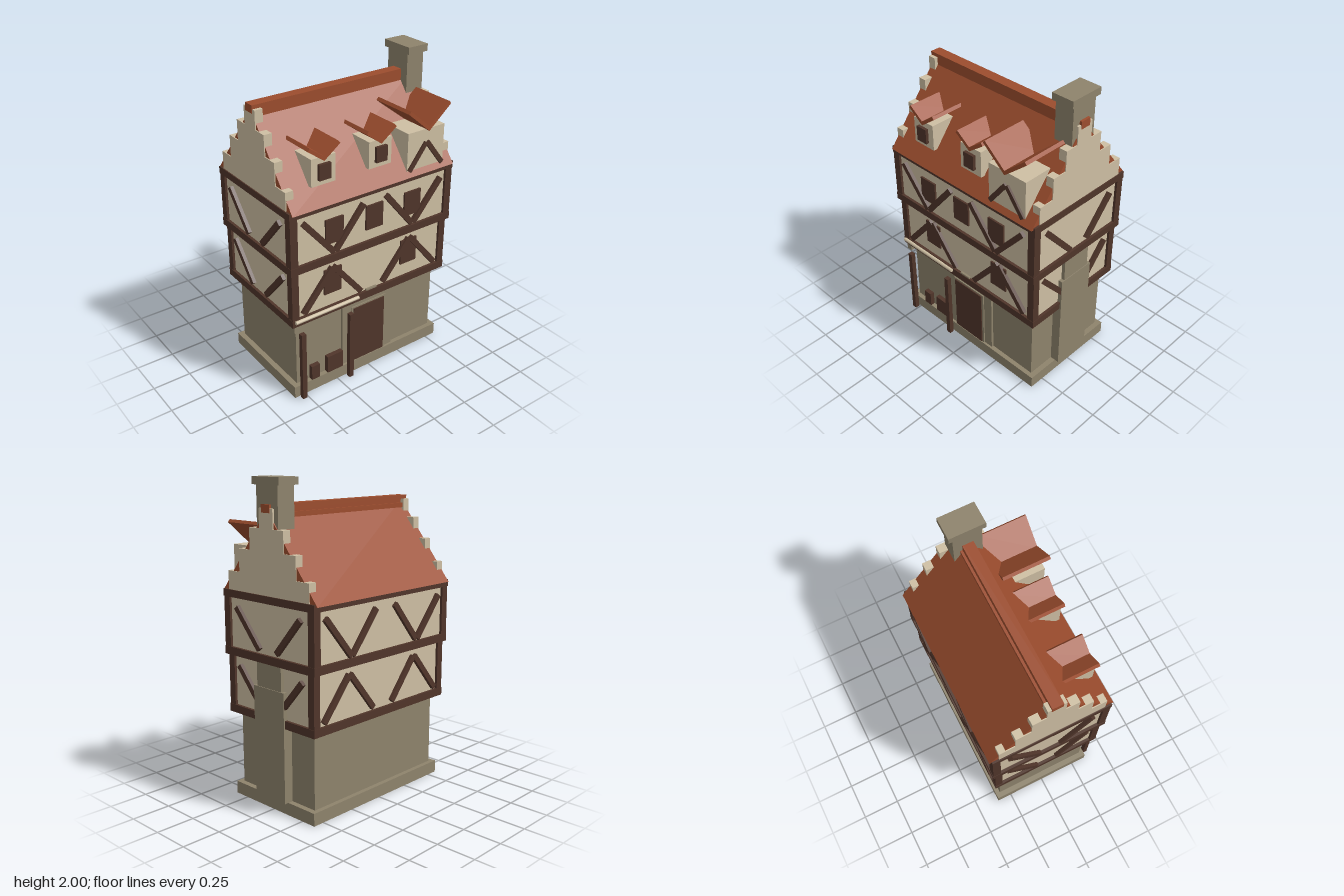
import * as THREE from 'three';

const mat = (name, color) => {
  const m = new THREE.MeshStandardMaterial({ color });
  m.name = name;
  return m;
};

export function createModel() {
  const house = new THREE.Group();
  house.name = 'timberFramedHouse';
  const stone = mat('stone', 0x8e836c);
  const plaster = mat('plaster', 0xcebfa3);
  const wood = mat('darkWood', 0x50352a);
  const tile = mat('roofTile', 0x9c4d2e);

  const add = (name, geo, material, parent = house) => {
    const mesh = new THREE.Mesh(geo, material);
    mesh.name = name;
    parent.add(mesh);
    return mesh;
  };
  // Box given by its limits on each axis
  const box = (name, material, x0, x1, y0, y1, z0, z1) => {
    const mesh = add(name, new THREE.BoxGeometry(x1 - x0, y1 - y0, z1 - z0), material);
    mesh.position.set((x0 + x1) / 2, (y0 + y1) / 2, (z0 + z1) / 2);
    return mesh;
  };
  // Outline of [z, y] points extruded along x
  const prismX = (name, material, pts, x0, x1) => {
    const shape = new THREE.Shape(pts.map(([z, y]) => new THREE.Vector2(-z, y)));
    const geo = new THREE.ExtrudeGeometry(shape, { depth: x1 - x0, bevelEnabled: false });
    geo.rotateY(Math.PI / 2).translate(x0, 0, 0);
    return add(name, geo, material);
  };
  // Sloping beam in a wall's own plane (u across, y up, depth outwards)
  const beam = (name, parent, material, u0, y0, u1, y1, w, d0, d1) => {
    const len = Math.hypot(u1 - u0, y1 - y0);
    const mesh = add(name, new THREE.BoxGeometry(len, w, d1 - d0), material, parent);
    mesh.position.set((u0 + u1) / 2, (y0 + y1) / 2, (d0 + d1) / 2);
    mesh.rotation.z = Math.atan2(y1 - y0, u1 - u0);
    return mesh;
  };

  // Stone ground floor
  box('plinth', stone, -0.575, 0.575, 0, 0.08, -0.35, 0.35);
  box('groundFloor', stone, -0.54, 0.54, 0.08, 0.55, -0.32, 0.32);
  box('portal', stone, -0.2, 0.2, 0.08, 0.545, 0.3, 0.335);
  box('doorFrame', stone, -0.135, 0.135, 0.08, 0.495, 0.3, 0.343);
  box('door', wood, -0.12, 0.12, 0.085, 0.485, 0.3, 0.35);
  box('keystone', stone, -0.04, 0.04, 0.55, 0.61, 0.33, 0.37);
  box('cornerBracket', stone, -0.575, -0.535, 0.5, 0.55, 0.32, 0.365);
  box('crate', wood, -0.325, -0.205, 0.08, 0.2, 0.3, 0.35);
  box('smallCrate', wood, -0.445, -0.385, 0.08, 0.18, 0.3, 0.35);

  // Porch posts and rolled awning
  for (const x of [-0.525, -0.165]) box('porchPost', wood, x - 0.016, x + 0.016, 0, 0.485, 0.36, 0.39);
  const awning = add('rolledAwning', new THREE.CylinderGeometry(0.012, 0.012, 0.465, 10), plaster);
  awning.rotation.z = Math.PI / 2;
  awning.position.set(-0.343, 0.587, 0.381);

  // Two jettied timber storeys: y range, half sizes, beam heights, brace direction on the long walls
  const storeys = [
    { y0: 0.55, y1: 0.95, hx: 0.592, hz: 0.373, post: 0.048, flip: true, lo: 0.62, hi: 0.87 },
    { y0: 0.92, y1: 1.325, hx: 0.604, hz: 0.39, post: 0.05, flip: false, lo: 0.985, hi: 1.235 },
  ];
  for (const { y0, y1, hx, hz, post, flip, lo, hi } of storeys) {
    box('plasterWalls', plaster, -hx + 0.018, hx - 0.018, y0 + 0.01, y1 - 0.01, -hz + 0.018, hz - 0.018);
    box('sillBeam', wood, -hx, hx, y0, y0 + 0.05, -hz, hz);
    for (const sx of [-1, 1]) for (const sz of [-1, 1]) {
      const px = sx * (hx - post / 2 - 0.002), pz = sz * (hz - post / 2 - 0.002);
      box('cornerPost', wood, px - post / 2, px + post / 2, y0 + 0.02, y1 - 0.01, pz - post / 2, pz + post / 2);
    }
    // Braces on all four walls
    for (let i = 0; i < 4; i++) {
      const wall = new THREE.Group();
      wall.name = 'wallBraces';
      wall.rotation.y = i * Math.PI / 2;
      house.add(wall);
      const long = i % 2 === 0;
      const out = (long ? hz : hx) + 0.005;
      for (const s of [-1, 1]) {
        if (long) {
          const [a, b] = flip ? [lo, hi] : [hi, lo];
          beam('brace', wall, wood, s * 0.51, a, s * 0.3, b, 0.036, out - 0.04, out);
          beam('brace', wall, wood, s * 0.085, a, s * 0.29, b, 0.036, out - 0.04, out - 0.002);
        } else {
          beam('brace', wall, wood, s * 0.275, hi - 0.01, s * 0.075, lo + 0.01, 0.036, out - 0.04, out);
        }
      }
    }
  }
  box('eavesBeam', wood, -0.605, 0.605, 1.28, 1.325, -0.39, 0.39);

  // Shuttered windows on the front
  for (const x of [-0.293, 0.293]) box('lowerWindow', wood, x - 0.063, x + 0.063, 0.69, 0.86, 0.34, 0.366);
  for (const x of [-0.293, 0, 0.293]) box('upperWindow', wood, x - 0.063, x + 0.063, 1.045, 1.205, 0.36, 0.384);

  // Main roof and ridge
  prismX('mainRoof', tile, [[0.405, 1.312], [0, 1.82], [-0.405, 1.312]], -0.592, 0.592);
  box('ridgeBase', tile, -0.592, 0.592, 1.77, 1.8, -0.05, 0.035);
  box('ridgeCap', tile, -0.601, 0.601, 1.8, 1.848, -0.035, 0.035);

  // Stepped gables
  const steps = [[0.345, 1.325, 1.44], [0.243, 1.44, 1.58], [0.145, 1.58, 1.71], [0.058, 1.71, 1.825]];
  const half = steps.flatMap(([z, a, b]) => [[z, a], [z, b]]);
  const outline = [...half, ...half.map(([z, y]) => [-z, y]).reverse()];
  prismX('rightGable', plaster, outline, 0.545, 0.598);
  prismX('leftGable', plaster, outline, -0.598, -0.545);

  // Stepped chimney breast on the side wall, stack and cap above the roof
  box('chimneyBreast', stone, 0.5, 0.602, 0.08, 0.77, -0.13, 0.13);
  box('chimneyNeck', stone, 0.5, 0.597, 0.77, 0.925, -0.105, 0.105);
  box('chimneyStack', stone, 0.46, 0.585, 1.6, 1.955, -0.09, 0.09);
  box('chimneyCap', stone, 0.45, 0.598, 1.955, 2, -0.115, 0.113);

  // Dormers with valley roofs
  const valleyRoof = (cx, w, yLow, yHigh, zFront) => {
    for (const s of [-1, 1]) {
      beam('dormerRoof', house, tile, cx - s * 0.006, yLow, cx + s * w, yHigh, 0.022, 0.1, zFront);
    }
  };
  for (const cx of [-0.343, 0.06]) {
    box('dormer', plaster, cx - 0.083, cx + 0.083, 1.42, 1.59, 0.12, 0.345);
    box('dormerWindow', wood, cx - 0.04, cx + 0.04, 1.455, 1.552, 0.33, 0.365);
    valleyRoof(cx, 0.102, 1.575, 1.655, 0.355);
  }
  box('largeDormer', plaster, 0.24, 0.522, 1.345, 1.588, 0.12, 0.38);
  valleyRoof(0.383, 0.155, 1.59, 1.727, 0.402);
  for (const s of [-1, 1]) {
    beam('dormerBrace', house, wood, 0.381 + s * 0.128, 1.343, 0.381 + s * 0.004, 1.505, 0.03, 0.35, 0.392 + s * 0.001);
  }
  return house;
}
